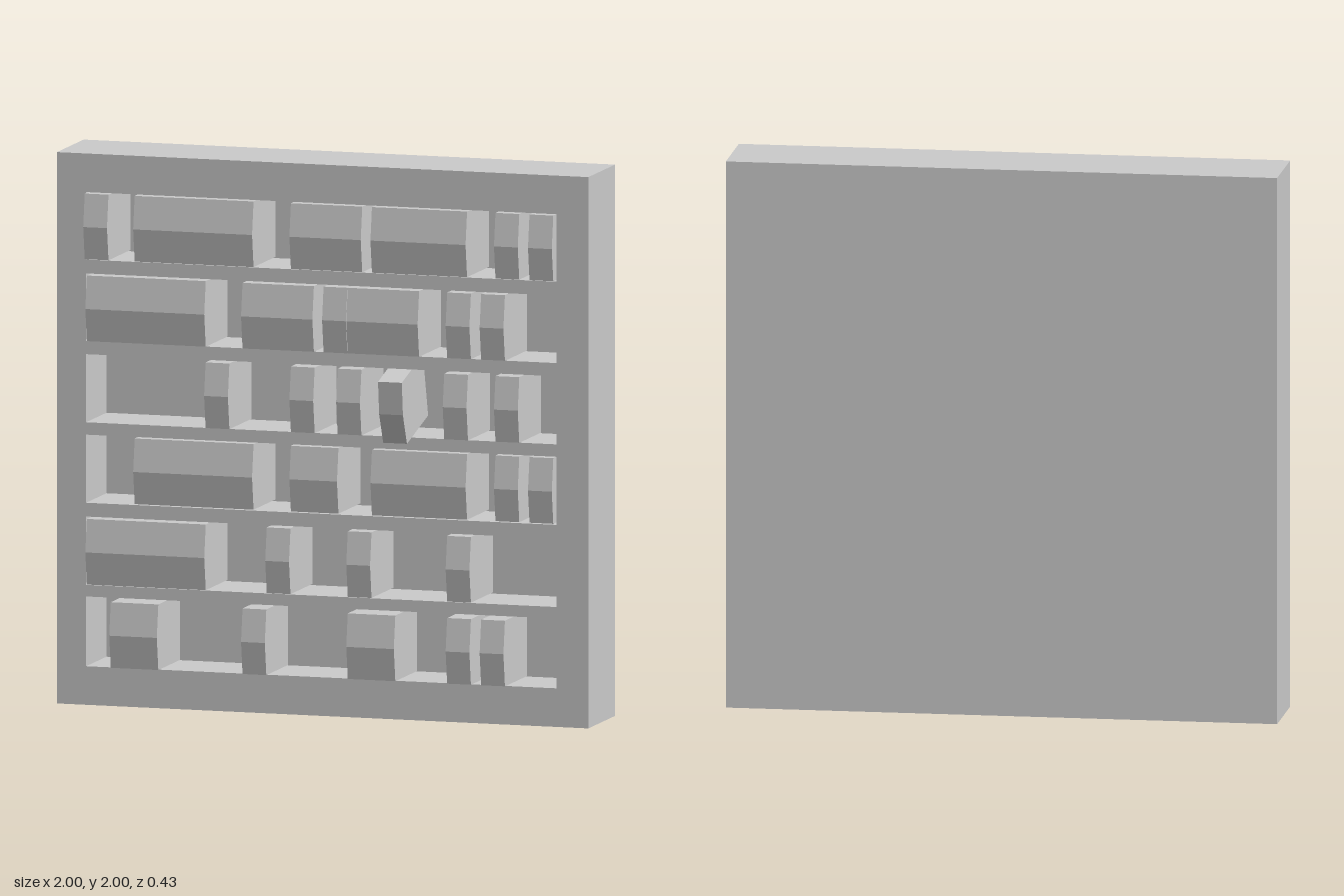
import * as THREE from 'three';

const material = new THREE.MeshStandardMaterial({ color: 0xcccccc, flatShading: true });

const BACK = -0.217, FRONT = 0.101, RECESS = -0.14; // depths of the case
const BOOK_W = 0.0895, BOOK_H = 0.238, BOOK_D = 0.26, BULGE = 0.018;
const SPINE_Z = 0.124;

// Shelves from top to bottom: opening, bottom of the books, runs of books [left edge, count]
const shelves = [
  { y0: 1.615, y1: 1.86, base: 1.62, runs: [[-0.888, 1], [-0.70, 5], [-0.112, 3], [0.193, 4], [0.658, 1], [0.786, 1]] },
  { y0: 1.32, y1: 1.565, base: 1.323, runs: [[-0.88, 5], [-0.294, 3], [0.011, 1], [0.102, 3], [0.476, 1], [0.604, 1]] },
  { y0: 1.025, y1: 1.272, base: 1.028, runs: [[-0.433, 1], [-0.112, 1], [0.064, 1], [0.465, 1], [0.658, 1]] },
  { y0: 0.733, y1: 0.98, base: 0.74, runs: [[-0.70, 5], [-0.112, 2], [0.193, 4], [0.658, 1], [0.786, 1]] },
  { y0: 0.435, y1: 0.683, base: 0.44, runs: [[-0.88, 5], [-0.203, 1], [0.102, 1], [0.476, 1]] },
  { y0: 0.14, y1: 0.393, base: 0.142, runs: [[-0.79, 2], [-0.294, 1], [0.102, 2], [0.476, 1], [0.604, 1]] },
];

function addRect(path, x0, y0, x1, y1) {
  path.moveTo(x0, y0);
  path.lineTo(x1, y0);
  path.lineTo(x1, y1);
  path.lineTo(x0, y1);
  path.closePath();
  return path;
}

// Book: side profile with a ridged spine, extruded across its thickness.
// Origin is at the middle of the spine's straight edge.
function bookGeometry() {
  const h = BOOK_H / 2;
  const profile = new THREE.Shape([
    new THREE.Vector2(0, -h),
    new THREE.Vector2(BOOK_D, -h),
    new THREE.Vector2(BOOK_D, h),
    new THREE.Vector2(0, h),
    new THREE.Vector2(-BULGE, 0),
  ]);
  const geometry = new THREE.ExtrudeGeometry(profile, { depth: BOOK_W, bevelEnabled: false });
  geometry.translate(0, 0, -BOOK_W / 2);
  geometry.rotateY(Math.PI / 2); // profile x now runs towards -z
  return geometry;
}

export function createModel() {
  const model = new THREE.Group();
  model.name = 'bookcase';

  // Case front with one opening per shelf
  const face = addRect(new THREE.Shape(), -1, 0, 1, 2);
  for (const s of shelves) face.holes.push(addRect(new THREE.Path(), -0.89, s.y0, 0.88, s.y1));
  const frame = new THREE.Mesh(
    new THREE.ExtrudeGeometry(face, { depth: FRONT - RECESS, bevelEnabled: false }), material);
  frame.name = 'shelfFrame';
  frame.position.z = RECESS;
  model.add(frame);

  // Solid back
  const back = new THREE.Mesh(new THREE.BoxGeometry(2, 2, RECESS - BACK), material);
  back.name = 'backPanel';
  back.position.set(0, 1, (BACK + RECESS) / 2);
  model.add(back);

  // Books standing on the shelves
  const geometry = bookGeometry();
  shelves.forEach((s, i) => {
    const row = new THREE.Group();
    row.name = `bookRow${i + 1}`;
    for (const [x, count] of s.runs) {
      for (let k = 0; k < count; k++) {
        const book = new THREE.Mesh(geometry, material);
        book.name = 'book';
        book.position.set(x + (k + 0.5) * BOOK_W, s.base + BOOK_H / 2, SPINE_Z);
        row.add(book);
      }
    }
    model.add(row);
  });

  // One book pulled out and tipped forward
  const tilted = new THREE.Mesh(geometry, material);
  tilted.name = 'tiltedBook';
  tilted.position.set(0.29, 1.125, 0.186);
  tilted.rotation.x = 0.26;
  model.add(tilted);

  return model;
}
